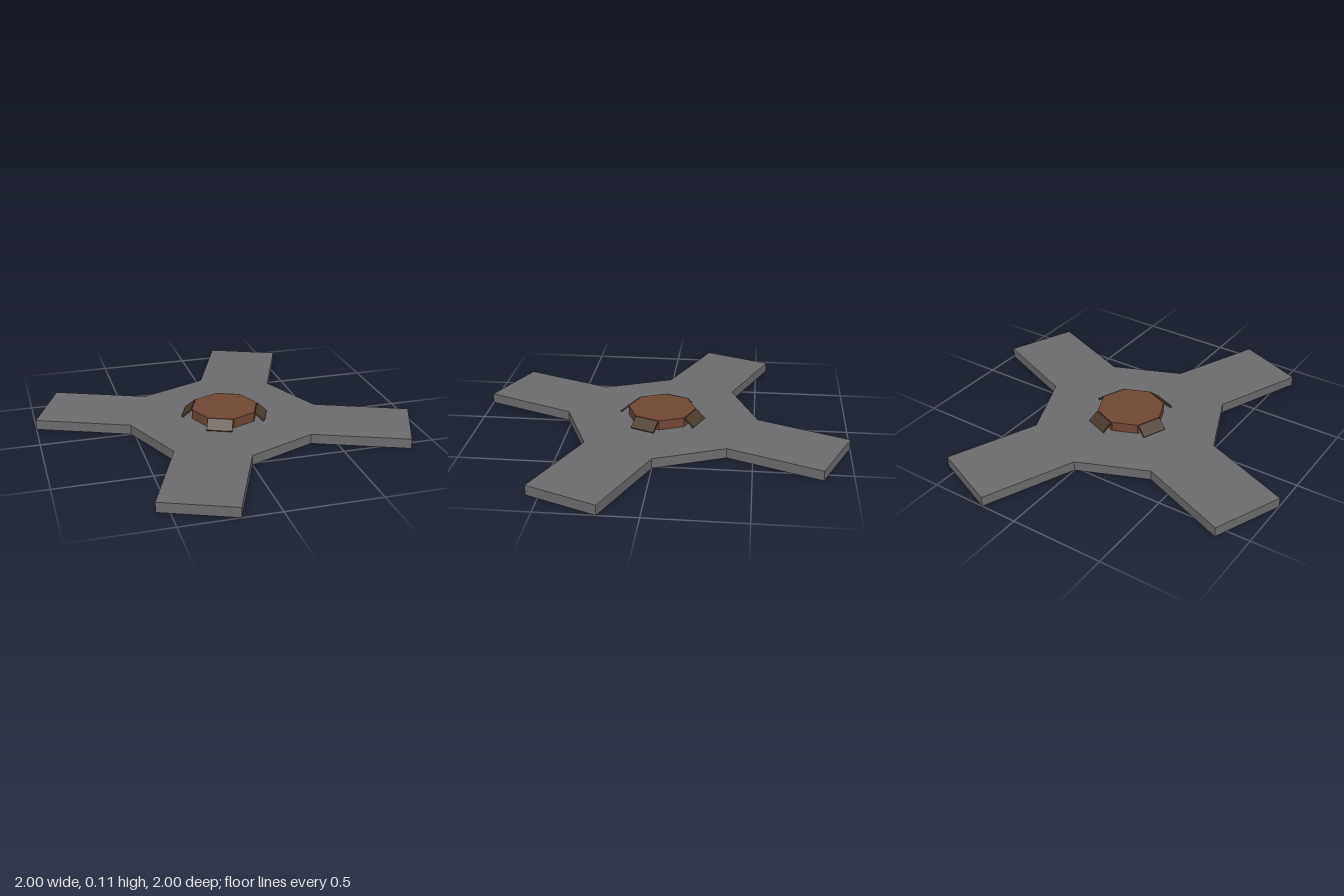
import * as THREE from 'three';

const plateMaterial = new THREE.MeshStandardMaterial({ name: 'grey metal', color: 0x6b6b6d, flatShading: true });
const hubMaterial = new THREE.MeshStandardMaterial({ name: 'rust brown', color: 0x6e4733, flatShading: true });
const flapMaterial = new THREE.MeshStandardMaterial({ name: 'dark brown', color: 0x4b3a2a, flatShading: true });

const PLATE_HEIGHT = 0.053;
const HUB_HEIGHT = 0.052;

function addMesh(parent, name, geometry, material) {
  const mesh = new THREE.Mesh(geometry, material);
  mesh.name = name;
  parent.add(mesh);
  return mesh;
}

export function createModel() {
  const model = new THREE.Group();
  model.name = 'fourArmedBase';

  // Flat base: one arm outline repeated by quarter turns around an octagonal middle
  const arm = [[0.367, 0.367], [0.564, 0.848], [0.2, 1], [0, 0.519]];
  const outline = [];
  for (let i = 0; i < 4; i++) {
    for (const [x, y] of arm) {
      outline.push(new THREE.Vector2(x, y).rotateAround(new THREE.Vector2(), i * Math.PI / 2));
    }
  }
  const plate = new THREE.ExtrudeGeometry(new THREE.Shape(outline), { depth: PLATE_HEIGHT, bevelEnabled: false });
  plate.rotateX(-Math.PI / 2);
  addMesh(model, 'basePlate', plate, plateMaterial);

  // Octagonal hub
  const hub = addMesh(model, 'hub', new THREE.CylinderGeometry(0.183, 0.183, HUB_HEIGHT, 8), hubMaterial);
  hub.position.y = PLATE_HEIGHT + HUB_HEIGHT / 2;

  // Thin sloping flaps on the four hub sides that face the arms
  for (let i = 0; i < 4; i++) {
    const pivot = new THREE.Group();
    pivot.name = 'flapMount' + (i + 1);
    pivot.rotation.y = Math.PI * 3 / 8 + i * Math.PI / 2;
    const flap = addMesh(pivot, 'flap', new THREE.BoxGeometry(0.068, 0.01, 0.135), flapMaterial);
    flap.position.set(0.197, 0.079, 0);
    flap.rotation.z = -THREE.MathUtils.degToRad(40);
    model.add(pivot);
  }
  return model;
}
